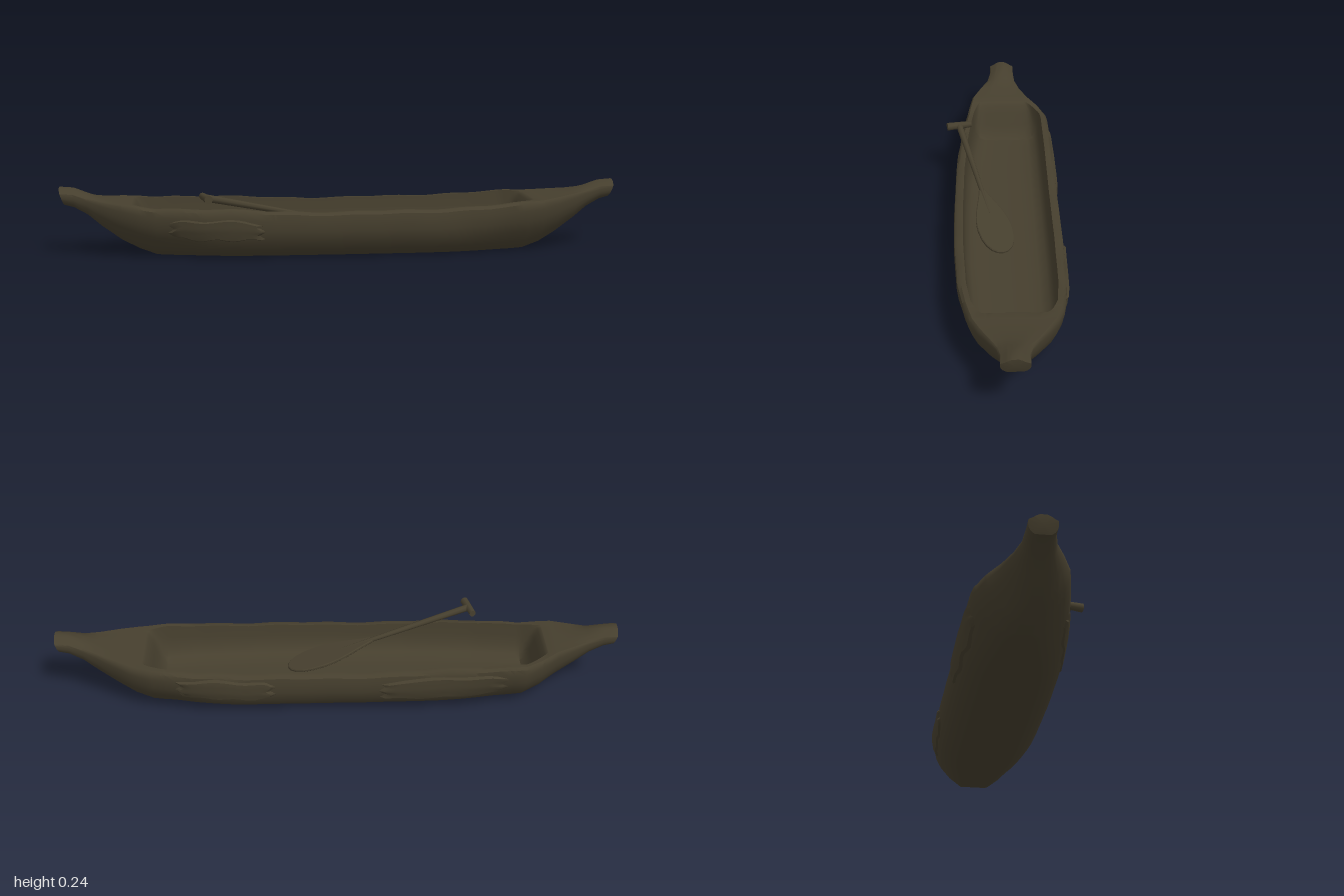
import * as THREE from 'three';
import { toCreasedNormals } from 'three/addons/utils/BufferGeometryUtils.js';

const wood = new THREE.MeshStandardMaterial({ color: 0x463f2e });
wood.name = 'dark weathered wood';

// Hull stations: x, centre z, half width, top y, bottom y
const stations = [
  [-1, -0.014, 0.047, 0.226, 0.183], [-0.95, -0.014, 0.047, 0.222, 0.174],
  [-0.9, -0.01, 0.056, 0.208, 0.148], [-0.85, -0.004, 0.08, 0.2, 0.108],
  [-0.78, -0.004, 0.113, 0.194, 0.058], [-0.72, -0.018, 0.14, 0.187, 0.025],
  [-0.66, -0.027, 0.159, 0.18, 0.002], [-0.62, -0.026, 0.164, 0.18, 0], [-0.5, -0.02, 0.174, 0.177, 0],
  [-0.25, -0.013, 0.185, 0.168, 0], [0, -0.011, 0.189, 0.163, 0],
  [0.25, -0.012, 0.19, 0.166, 0], [0.5, -0.016, 0.183, 0.174, 0], [0.62, -0.019, 0.169, 0.18, 0],
  [0.66, -0.02, 0.161, 0.182, 0.002], [0.72, -0.017, 0.143, 0.188, 0.023],
  [0.78, -0.014, 0.115, 0.194, 0.058], [0.85, -0.012, 0.078, 0.202, 0.108],
  [0.9, -0.012, 0.056, 0.21, 0.148], [0.95, -0.012, 0.047, 0.222, 0.174],
  [1, -0.012, 0.047, 0.226, 0.183],
];

// Half profile of the outside, from gunwale to keel, as fractions of width and height
const outer = [[0.93, 1], [0.985, 0.95], [1, 0.82], [0.99, 0.6], [0.94, 0.4], [0.8, 0.18], [0.54, 0], [0.25, 0]];
// Half profile of the hollow, as fractions of its width and depth
const inner = [[1, 0], [0.98, 0.35], [0.94, 0.65], [0.83, 0.88], [0.65, 0.98], [0.33, 1]];
const CAVITY = [-0.745, 0.69], FLOOR = 0.05, END_SLOPE = 0.07;
const { lerp, clamp, smoothstep } = THREE.MathUtils;

function stationAt(x) {
  let i = 0;
  while (i < stations.length - 2 && stations[i + 1][0] < x) i++;
  const a = stations[i], b = stations[i + 1], t = clamp((x - a[0]) / (b[0] - a[0]), 0, 1);
  const [, zc, w, top, bottom] = a.map((v, k) => lerp(v, b[k], t));
  const worn = 0.002 * (Math.sin(x * 13) + Math.sin(x * 31 + 1)) * smoothstep(0.85 - Math.abs(x), 0, 0.2);
  return { zc, w, top: top + worn, bottom };
}

// Outside profile, with the flat bottom narrowing towards both ends
function profileAt(x) {
  const d = Math.abs(x);
  const narrow = 0.38 * smoothstep(d, 0.35, 0.68) * (1 - smoothstep(d, 0.75, 0.95));
  return outer.map(([u, v]) => [u * (1 - narrow * (1 - v) ** 2), v]);
}

// One closed section: down the front side, up the back, then through the hollow
function section(x) {
  const { zc, w, top, bottom } = stationAt(x);
  const end = Math.max(0, Math.min(x - CAVITY[0], CAVITY[1] - x));
  const depth = (top - FLOOR) * smoothstep(end, 0, END_SLOPE);
  const innerW = w * 0.83 * lerp(0.8, 1, Math.sqrt(clamp(end / END_SLOPE, 0, 1)));
  const crown = 0.018 * smoothstep(Math.abs(x), 0.82, 0.95);
  const out = profileAt(x).map(([u, v]) => [u * w, lerp(bottom, top, v)]);
  const hollow = inner.map(([u, v]) => [u * innerW, top - v * depth + crown * (1 - (u * 0.83) ** 2)]);
  const flip = (list) => list.map(([z, y]) => [-z, y]);
  const ring = [...out, ...flip(out).reverse(), ...flip(hollow), ...[...hollow].reverse()];
  // The tips lean outwards towards the top
  const lean = 0.35 * smoothstep(Math.abs(x), 0.94, 1) * Math.sign(x);
  return ring.map(([z, y]) => [x - lean * Math.max(0, 0.235 - y), y, z + zc]);
}

function buildGeometry(positions, index, crease) {
  const g = new THREE.BufferGeometry();
  g.setAttribute('position', new THREE.Float32BufferAttribute(positions.flat(), 3));
  g.setIndex(index);
  return toCreasedNormals(g, crease);
}

function hullGeometry() {
  const xs = stations.map((s) => s[0]);
  for (let x = -0.6; x < 0.61; x += 0.04) xs.push(x);
  for (const d of [0, 0.003, 0.012, 0.025, 0.04, 0.055, 0.07]) xs.push(CAVITY[0] + d, CAVITY[1] - d);
  xs.sort((a, b) => a - b);
  const rows = xs.map(section), n = rows[0].length, positions = rows.flat(), index = [];
  for (let i = 0; i < rows.length - 1; i++) {
    for (let j = 0; j < n; j++) {
      const k = (j + 1) % n, a = i * n + j, b = i * n + k;
      index.push(a, b, b + n, a, b + n, a + n);
    }
  }
  // Blunt caps at both tips
  [[0, -1], [rows.length - 1, 1]].forEach(([r, side]) => {
    const c = positions.length;
    positions.push([side * 0.995, 0.21, -0.012]);
    for (let j = 0; j < n; j++) {
      const a = r * n + j, b = r * n + (j + 1) % n;
      index.push(c, ...(side > 0 ? [a, b] : [b, a]));
    }
  });
  return buildGeometry(positions, index, 0.75);
}

// Outer surface point at x and height fraction v, pushed outwards
function sidePoint(x, v, side, push) {
  const { zc, w, top, bottom } = stationAt(x), profile = profileAt(x);
  let i = 0;
  while (i < profile.length - 3 && profile[i + 1][1] > v) i++;
  const a = profile[i], b = profile[i + 1];
  const u = lerp(a[0], b[0], clamp((a[1] - v) / (a[1] - b[1]), 0, 1));
  return [x, lerp(bottom, top, v) - push * (1 - v) * 0.5, zc + side * (u * w + push)];
}

// Ragged raised patch of bark lying on one side
function barkPatch(name, side, x0, x1, v0, v1, thick) {
  const nx = 14, nv = 9, positions = [], index = [];
  for (let i = 0; i <= nx; i++) {
    const t = i / nx, taper = 1 - 0.4 * (2 * t - 1) ** 4;
    const lo = lerp((v0 + v1) / 2, v0, taper) + 0.03 * Math.sin(i * 1.3 + x0);
    const hi = lerp((v0 + v1) / 2, v1, taper) + 0.02 * Math.sin(i * 0.9 + x1);
    for (let j = 0; j <= nv; j++) {
      const edge = i === 0 || i === nx || j === 0 || j === nv;
      const x = lerp(x0, x1, t) + 0.01 * Math.sin(j * 1.4 + x0 * 9);
      positions.push(sidePoint(x, lerp(lo, hi, j / nv), side, edge ? -0.004 : thick));
    }
  }
  for (let i = 0; i < nx; i++) {
    for (let j = 0; j < nv; j++) {
      const a = i * (nv + 1) + j, b = a + nv + 1;
      if (side > 0) index.push(a, b, b + 1, a, b + 1, a + 1);
      else index.push(a, b + 1, b, a, a + 1, b + 1);
    }
  }
  const mesh = new THREE.Mesh(buildGeometry(positions, index, 0.6), wood);
  mesh.name = name;
  return mesh;
}

// Paddle modelled along +x from its grip, blade flat in the xz plane
function createPaddle() {
  const paddle = new THREE.Group();
  paddle.name = 'paddle';
  const add = (geometry, name) => {
    const mesh = new THREE.Mesh(geometry, wood);
    mesh.name = name;
    paddle.add(mesh);
    return mesh;
  };
  const shaft = add(new THREE.CylinderGeometry(0.007, 0.013, 0.5, 8), 'paddleShaft');
  shaft.rotation.z = -Math.PI / 2;
  shaft.position.x = 0.25;
  const grip = add(new THREE.CylinderGeometry(0.015, 0.012, 0.094, 8), 'paddleGrip');
  grip.rotation.x = Math.PI / 2;
  const outline = new THREE.Shape();
  outline.moveTo(0.38, -0.01);
  outline.bezierCurveTo(0.45, -0.028, 0.5, -0.06, 0.58, -0.06);
  outline.bezierCurveTo(0.735, -0.06, 0.735, 0.06, 0.58, 0.06);
  outline.bezierCurveTo(0.5, 0.06, 0.45, 0.028, 0.38, 0.01);
  const blade = add(new THREE.ExtrudeGeometry(outline, {
    depth: 0.006, bevelEnabled: true, bevelSize: 0.003, bevelThickness: 0.003, bevelSegments: 1, curveSegments: 10,
  }), 'paddleBlade');
  blade.rotation.x = Math.PI / 2;
  blade.position.y = 0.003;
  // Rest the shaft on the front gunwale with the blade in the hollow
  const from = new THREE.Vector3(-0.488, 0.222, 0.16), to = new THREE.Vector3(0.18, 0.07, 0.005);
  const along = to.sub(from).normalize();
  const across = along.clone().cross(new THREE.Vector3(0, 1, 0)).normalize();
  paddle.quaternion.setFromRotationMatrix(
    new THREE.Matrix4().makeBasis(along, across.clone().cross(along), across));
  paddle.position.copy(from);
  return paddle;
}

export function createModel() {
  const model = new THREE.Group();
  model.name = 'dugoutCanoe';
  const hull = new THREE.Mesh(hullGeometry(), wood);
  hull.name = 'hull';
  model.add(hull, createPaddle());
  model.add(
    barkPatch('frontBark', 1, -0.62, -0.28, 0.35, 0.82, 0.005),
    barkPatch('backBarkLeft', -1, 0.22, 0.57, 0.4, 0.93, 0.007),
    barkPatch('backBarkRight', -1, -0.6, -0.14, 0.32, 0.9, 0.007),
  );
  return model;
}
